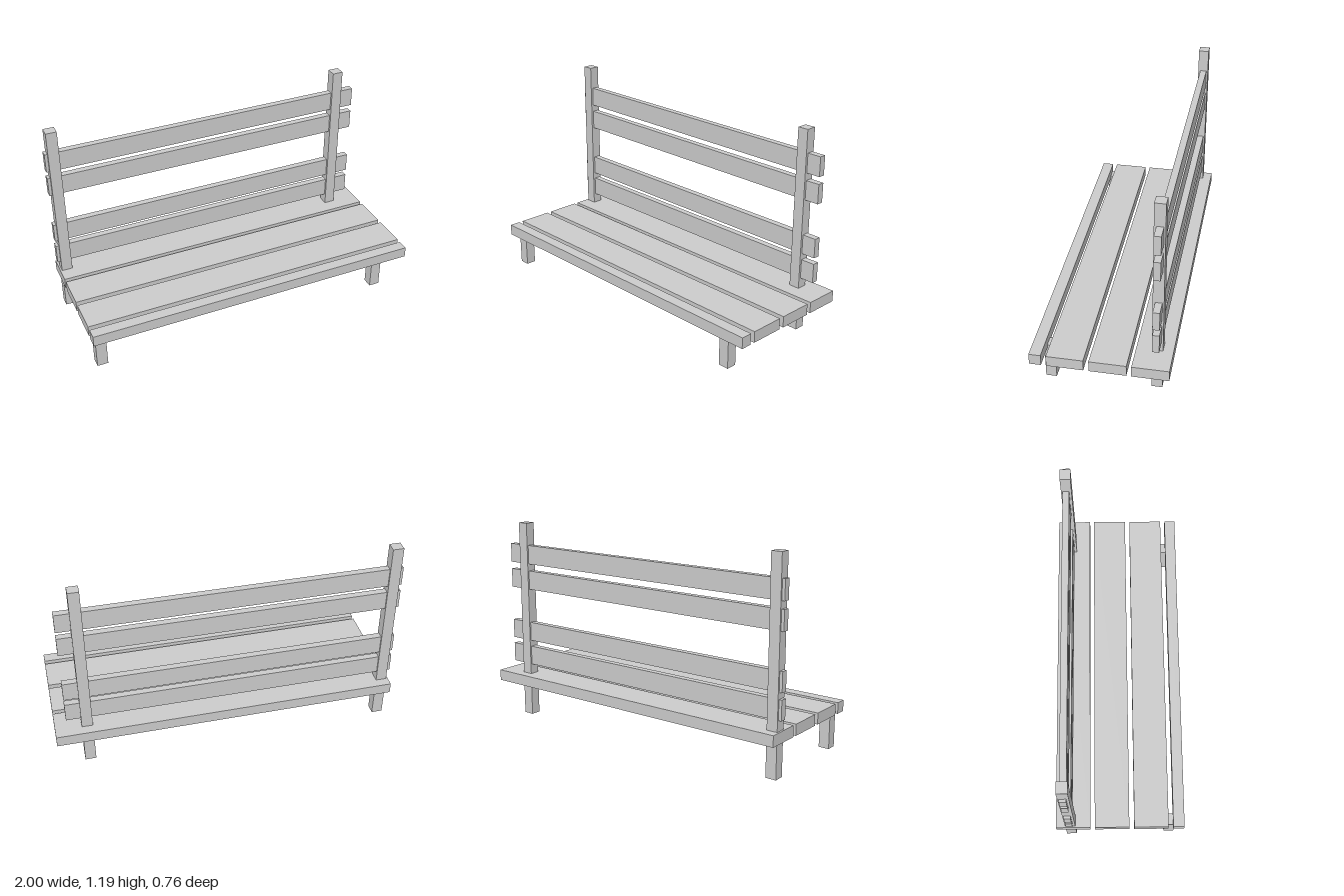
import * as THREE from 'three';

const material = new THREE.MeshStandardMaterial({ color: 0xcccccc, flatShading: true, side: THREE.DoubleSide });

// Box given by its [min, max] range on each axis; openBottom leaves out the lower face
function board(name, [x0, x1], [y0, y1], [z0, z1], openBottom = false) {
  const geometry = new THREE.BoxGeometry(x1 - x0, y1 - y0, z1 - z0);
  if (openBottom) {
    const index = Array.from(geometry.index.array);
    index.splice(18, 6);
    geometry.setIndex(index);
    geometry.clearGroups();
  }
  const mesh = new THREE.Mesh(geometry, material);
  mesh.name = name;
  mesh.position.set((x0 + x1) / 2, (y0 + y1) / 2, (z0 + z1) / 2);
  return mesh;
}

export function createModel() {
  const bench = new THREE.Group();
  bench.name = 'bench';

  // Seat: three wide slats and a narrow front one, very slightly skewed
  const seat = new THREE.Group();
  seat.name = 'seat';
  for (const z of [[-0.379, -0.178], [-0.152, 0.05], [0.079, 0.28], [0.308, 0.373]]) {
    const slat = board('seatSlat', [-0.993, 0.998], [0.2, 0.265], z);
    slat.rotation.y = 0.002;
    seat.add(slat);
  }

  // Backrest: four rails running through the posts
  const backrest = new THREE.Group();
  backrest.name = 'backrest';
  for (const y of [0.325, 0.475, 0.793, 0.948]) {
    backrest.add(board('backRail', [-1, 0.93], [y, y + 0.113], [-0.315, -0.277]));
  }

  // Tall rear posts and short front legs, hollow at the foot
  const legs = new THREE.Group();
  legs.name = 'legs';
  for (const x of [-0.983, 0.783]) {
    legs.add(board('rearPost', [x, x + 0.063], [0.004, 1.195], [-0.324, -0.264], true));
  }
  for (const x of [-0.971, 0.796]) {
    legs.add(board('frontLeg', [x, x + 0.063], [0, 0.22], [0.262, 0.322], true));
  }

  bench.add(seat, backrest, legs);
  return bench;
}
